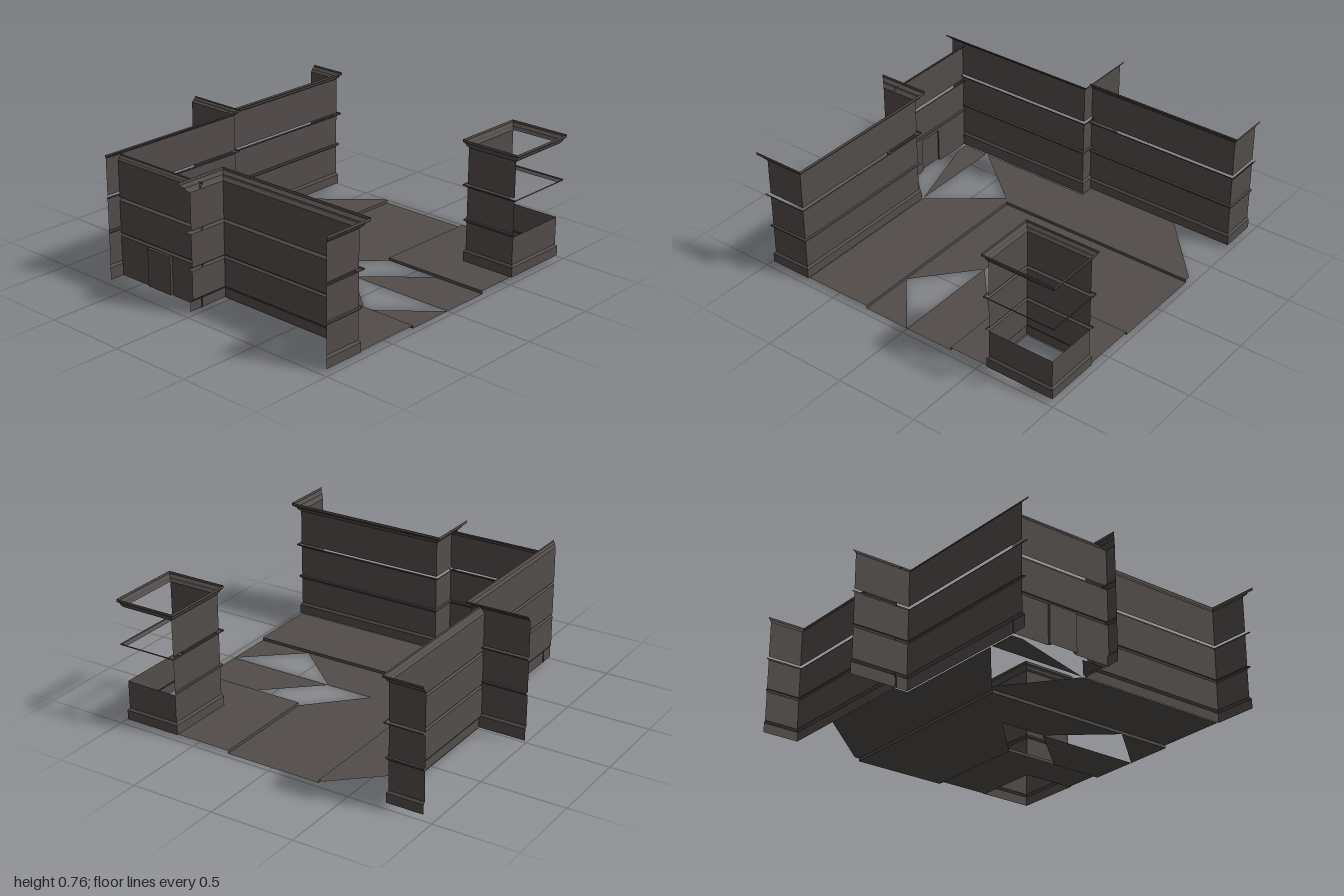
import * as THREE from 'three';

const stone = new THREE.MeshStandardMaterial({ color: 0x524d4b, side: THREE.DoubleSide });
stone.name = 'dark stone';

// Sweeps a profile of [outward offset, y] along a plan path of [x, z], with mitred corners.
// The outside is on the right-hand side of the path; open ends may be mitred too.
function sweep(path, profile, { closed = false, mitreStart = false, mitreEnd = false } = {}) {
  const n = path.length;
  const count = closed ? n : n - 1;
  const dirs = [];
  for (let i = 0; i < count; i++) {
    const a = path[i], b = path[(i + 1) % n];
    const len = Math.hypot(b[0] - a[0], b[1] - a[1]);
    dirs.push([(b[0] - a[0]) / len, (b[1] - a[1]) / len]);
  }
  const offsets = path.map((_, i) => {
    const before = closed ? dirs[(i + n - 1) % n] : dirs[i - 1];
    const after = dirs[i];
    const out = [0, 0];
    for (const d of [before, after]) if (d) { out[0] -= d[1]; out[1] += d[0]; }
    if (!before && mitreStart) { out[0] -= after[0]; out[1] -= after[1]; }
    if (!after && mitreEnd) { out[0] += before[0]; out[1] += before[1]; }
    return out;
  });
  const at = (i, [o, y]) => [path[i][0] + offsets[i][0] * o, y, path[i][1] + offsets[i][1] * o];
  const pos = [];
  for (let i = 0; i < count; i++) {
    const j = (i + 1) % n;
    for (let k = 0; k < profile.length - 1; k++) {
      const a = at(i, profile[k]), b = at(j, profile[k]);
      const c = at(j, profile[k + 1]), d = at(i, profile[k + 1]);
      pos.push(...a, ...b, ...c, ...a, ...c, ...d);
    }
  }
  const geo = new THREE.BufferGeometry();
  geo.setAttribute('position', new THREE.Float32BufferAttribute(pos, 3));
  geo.computeVertexNormals();
  return geo;
}

function add(group, name, geometry) {
  const mesh = new THREE.Mesh(geometry, stone);
  mesh.name = name;
  group.add(mesh);
  return mesh;
}

// Profiles shared by all the facades
const plinth = (h) => [[0.01, 0.02], [0.01, h - 0.014], [0, h]];
const lowBand = (y) => [[0, y], [0.012, y + 0.01], [0.012, y + 0.02], [0, y + 0.02]];
const openBand = (y) => [[0, y], [0.02, y + 0.012], [0.02, y + 0.02]];
const cornice = (y, top, out) => {
  const h = top - y;
  return [[0, y], [out * 0.4, y + h * 0.25], [out * 0.5, y + h * 0.45], [out, y + h * 0.7], [out, top]];
};

// Facade: plinth, lower wall, string course, middle wall, open ledge, upper wall, cornice
function facade(group, name, path, { base, low, mid, crown, top, out, ...ends }) {
  const part = new THREE.Group();
  part.name = name;
  add(part, 'lowerWall', sweep(path, [...plinth(base), ...lowBand(low), [0, mid]], ends));
  add(part, 'ledge', sweep(path, openBand(mid), ends));
  add(part, 'upperWall', sweep(path, [[0, mid + 0.02], [0, crown]], ends));
  add(part, 'cornice', sweep(path, cornice(crown, top, out), ends));
  group.add(part);
}

function flat(group, name, y, points) {
  const shape = new THREE.Shape(points.map(([x, z]) => new THREE.Vector2(x, -z)));
  add(group, name, new THREE.ShapeGeometry(shape).rotateX(-Math.PI / 2)).position.y = y;
}

export function createModel() {
  const model = new THREE.Group();
  model.name = 'streetCorner';

  // Building fronts
  facade(model, 'sideBuilding', [[-0.96, 0.96], [-0.72, 0.96], [-0.72, 0], [-0.96, 0]], {
    base: 0.09, low: 0.255, mid: 0.465, crown: 0.7, top: 0.757, out: 0.04, mitreStart: true, mitreEnd: true });
  facade(model, 'backBuilding', [[-0.972, -0.645], [0.005, -0.645], [0.005, -1]], {
    base: 0.105, low: 0.29, mid: 0.495, crown: 0.73, top: 0.762, out: 0.025, mitreStart: true });
  facade(model, 'cornerBuilding', [[0.005, -0.723], [0.965, -0.723], [0.965, -0.937]], {
    base: 0.09, low: 0.265, mid: 0.465, crown: 0.705, top: 0.747, out: 0.025 });

  // Tower: full walls on two sides, low walls and rings all round
  const tower = new THREE.Group();
  tower.name = 'tower';
  const ring = [[0.56, 0.96], [0.965, 0.96], [0.965, 0.635], [0.56, 0.635]];
  const ell = [ring[2], ring[3], ring[0]];
  const ends = { mitreStart: true, mitreEnd: true };
  add(tower, 'towerBase', sweep(ring, [...plinth(0.09), [0, 0.255]], { closed: true }));
  add(tower, 'towerMiddleWall', sweep(ell, [...lowBand(0.255), [0, 0.465]], ends));
  add(tower, 'towerLedge', sweep(ring, openBand(0.465), { closed: true }));
  add(tower, 'towerUpperWall', sweep(ell, [[0, 0.485], [0, 0.7]], ends));
  add(tower, 'towerCornice', sweep(ring, cornice(0.7, 0.75, 0.025), { closed: true }));
  model.add(tower);

  // Gate wall with a recessed door
  const gate = new THREE.Group();
  gate.name = 'gateWall';
  const gx = -0.89, z0 = -0.23, z1 = -0.41;
  const line = [[gx, 0], [gx, -0.64]];
  add(gate, 'gateFrontPier', sweep([[gx, 0], [gx, z0]], [[0, 0.02], [0, 0.255]]));
  add(gate, 'gateBackPier', sweep([[gx, z1], [gx, -0.64]], [[0, 0.02], [0, 0.255]]));
  add(gate, 'gateWallMiddle', sweep(line, [[0, 0.25], ...lowBand(0.255), [0, 0.465]]));
  add(gate, 'gateLedge', sweep(line, openBand(0.465)));
  add(gate, 'gateWallUpper', sweep(line, [[0, 0.485], [0, 0.7]]));
  add(gate, 'gateCornice', sweep(line, cornice(0.7, 0.732, 0.02)));
  add(gate, 'doorRecess', sweep([[gx, z0], [gx - 0.015, z0], [gx - 0.015, z1], [gx, z1]], [[0, 0.025], [0, 0.25]]));
  add(gate, 'doorHead', new THREE.BoxGeometry(0.015, 0.004, 0.18)).position.set(gx - 0.0075, 0.25, -0.32);
  for (const z of [z0 - 0.007, z1 + 0.007]) {
    add(gate, 'doorJamb', new THREE.BoxGeometry(0.008, 0.225, 0.014)).position.set(gx - 0.004, 0.1375, z);
  }
  add(gate, 'doorLintel', new THREE.BoxGeometry(0.008, 0.014, 0.18)).position.set(gx - 0.004, 0.243, -0.32);
  model.add(gate);

  // Raised pavements
  const walk = 0.018;
  flat(model, 'mainPavement', walk, [[-0.7, -0.63], [0.02, -0.63], [0.02, -0.715], [0.61, -0.715],
    [0.965, -0.325], [0.965, -0.295], [-0.29, -0.295], [-0.29, 0.96], [-0.71, 0.96], [-0.71, -0.02], [-0.32, -0.325]]);
  flat(model, 'towerPavement', walk, [[0.3, 0.29], [0.965, 0.29], [0.965, 0.635], [0.56, 0.635], [0.56, 0.96], [0.3, 0.96]]);
  flat(model, 'gatePavementBack', walk, [[-0.87, -0.63], [-0.71, -0.63], [-0.71, -0.03], [-0.87, -0.56]]);
  flat(model, 'gatePavementFront', walk, [[-0.87, -0.165], [-0.72, -0.03], [-0.87, -0.03]]);

  // Sunken street
  flat(model, 'street', 0, [[-0.29, -0.295], [0.965, -0.295], [0.965, 0.29], [0.3, 0.29], [0, 0], [0, 0.29], [-0.29, 0.625]]);
  flat(model, 'streetStripRight', 0, [[0, 0.29], [0.3, 0.625], [0.3, 0.96], [0, 0.96]]);
  flat(model, 'streetStripLeft', 0, [[-0.29, 0.625], [0, 0.96], [-0.29, 0.96]]);

  // Kerbs between pavement and street
  const kerb = [[0, 0], [0, walk]];
  add(model, 'mainKerb', sweep([[-0.29, 0.96], [-0.29, -0.295], [0.965, -0.295]], kerb));
  add(model, 'towerKerb', sweep([[0.965, 0.29], [0.3, 0.29], [0.3, 0.96]], kerb));

  return model;
}
